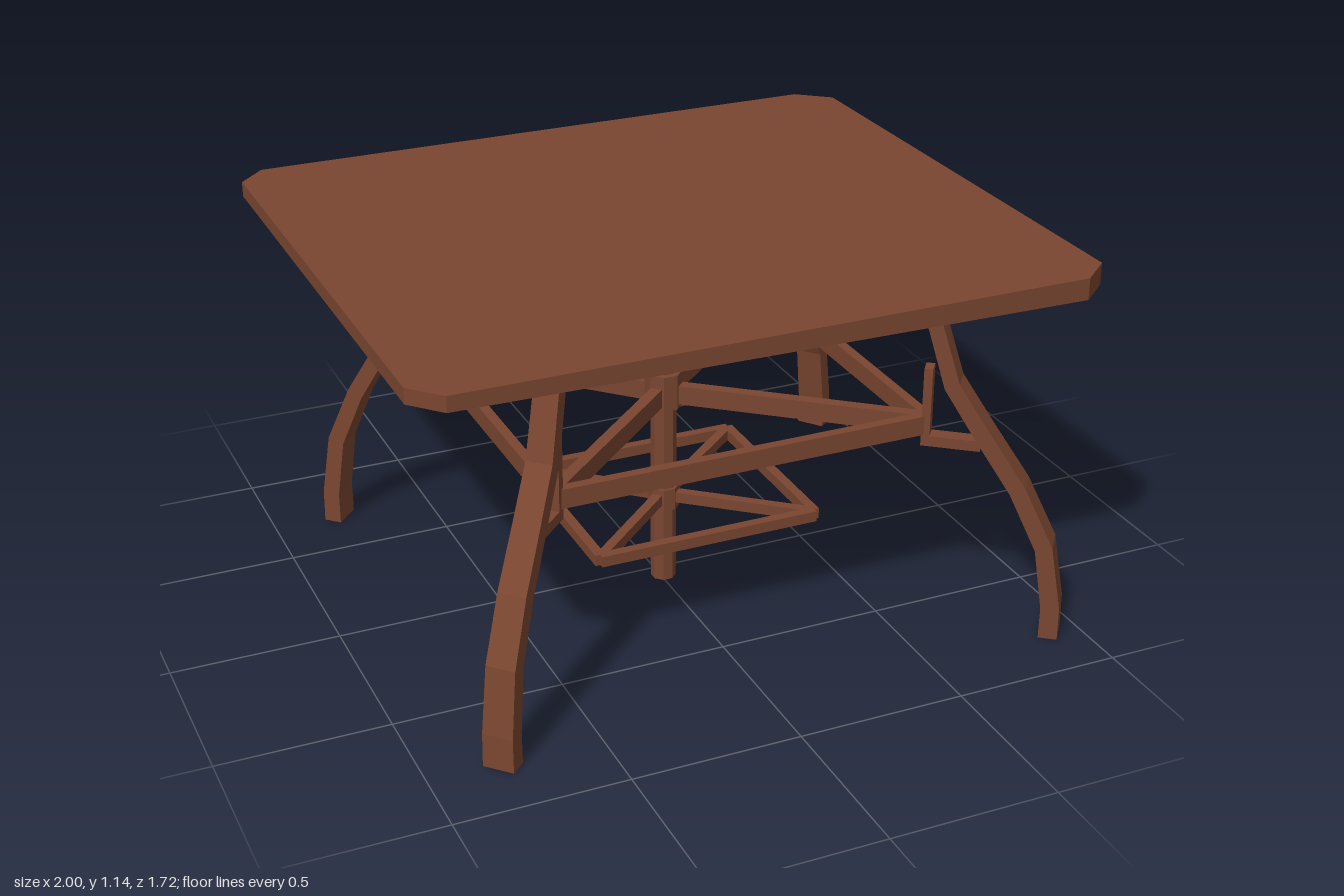
import * as THREE from 'three';

const wood = new THREE.MeshStandardMaterial({ color: 0x7a4630 });
wood.name = 'brown wood';

// Faceted mesh with hard edges
function part(name, geometry, parent) {
  const flat = geometry.index ? geometry.toNonIndexed() : geometry;
  flat.computeVertexNormals();
  const mesh = new THREE.Mesh(flat, wood);
  mesh.name = name;
  parent.add(mesh);
  return mesh;
}

// Horizontal bar between two [x, z] points
function bar(name, a, b, y, height, width, parent) {
  const dx = b[0] - a[0], dz = b[1] - a[1];
  const mesh = part(name, new THREE.BoxGeometry(Math.hypot(dx, dz), height, width), parent);
  mesh.position.set((a[0] + b[0]) / 2, y, (a[1] + b[1]) / 2);
  mesh.rotation.y = Math.atan2(-dz, dx);
}

// Vertical eight-sided column on the table's axis
function column(name, radius, y0, y1, parent) {
  const mesh = part(name, new THREE.CylinderGeometry(radius, radius, y1 - y0, 8), parent);
  mesh.rotation.y = Math.PI / 8;
  mesh.position.set(HUB[0], (y0 + y1) / 2, HUB[1]);
}

const HUB = [0, 0.07];

// Leg curve: height and share of the outward splay, from foot to top
const CURVE = [[0, 1], [0.1, 1], [0.29, 0.92], [0.465, 0.7], [0.62, 0.43],
  [0.77, 0.18], [0.96, 0.03], [1.1, 0]];

// Curved leg, tapering upward; x is outward and z is across
function legGeometry(splay) {
  const n = CURVE.length - 1;
  const g = new THREE.BoxGeometry(1, 1, 1, 1, n, 1);
  const p = g.attributes.position;
  for (let i = 0; i < p.count; i++) {
    const k = Math.round((p.getY(i) + 0.5) * n);
    const [y, t] = CURVE[k];
    const lo = CURVE[Math.max(k - 1, 0)], hi = CURVE[Math.min(k + 1, n)];
    const tx = (hi[1] - lo[1]) * splay, ty = hi[0] - lo[0], len = Math.hypot(tx, ty);
    const depth = p.getX(i) * (0.055 - 0.012 * y);
    const tilt = k === 0 || k === n ? 0 : -tx / len;
    p.setXYZ(i, t * splay + depth * ty / len, y + depth * tilt, p.getZ(i) * (0.092 - 0.018 * y));
  }
  return g;
}

export function createModel() {
  const table = new THREE.Group();
  table.name = 'table';

  // Top board with clipped corners; its underside drops slightly to the right
  const outline = [[-1, -0.78], [-0.92, -0.86], [0.88, -0.86], [0.98, -0.78],
    [1, 0.775], [0.91, 0.855], [-0.92, 0.855], [-1, 0.77]];
  const shape = new THREE.Shape(outline.map(([x, z]) => new THREE.Vector2(x, -z)));
  const board = new THREE.ExtrudeGeometry(shape, { depth: 0.055, bevelEnabled: false });
  board.rotateX(-Math.PI / 2).translate(0, 1.085, 0);
  const bp = board.attributes.position;
  for (let i = 0; i < bp.count; i++) {
    if (bp.getY(i) < 1.1) bp.setY(i, 1.085 - 0.01 * bp.getX(i));
  }
  part('tabletop', board, table);

  // Legs in order round the table: top [x, z] and foot [x, z]
  const legs = [
    [[-0.537, 0.56], [-0.788, 0.8]],
    [[0.603, 0.56], [0.912, 0.8]],
    [[0.603, -0.475], [0.912, -0.712]],
    [[-0.537, -0.475], [-0.788, -0.712]],
  ];
  legs.forEach(([top, foot], i) => {
    const dx = foot[0] - top[0], dz = foot[1] - top[1], splay = Math.hypot(dx, dz);
    const group = new THREE.Group();
    group.name = 'leg';
    group.position.set(top[0], 0, top[1]);
    group.rotation.y = Math.atan2(-dz, dx);
    table.add(group);
    part('curvedLeg', legGeometry(splay), group);

    // Bracket: upright and foot plate closing a triangle behind the leg
    part('bracketUpright', new THREE.BoxGeometry(0.025, 0.24, 0.045), group).position.y = 0.69;
    part('bracketPlate', new THREE.BoxGeometry(0.17, 0.032, 0.045), group)
      .position.set(0.0725, 0.585, 0);

    // Upper stretchers: one to the next leg, one to the hub
    const next = legs[(i + 1) % 4][0];
    bar('sideStretcher', top, next, 0.632, 0.058, 0.03, table);
    bar('diagonalStretcher', top, HUB, 0.632, 0.058, 0.035, table);
  });

  // Lower frame with its diagonals
  const corners = [[-0.325, 0.365], [0.355, 0.365], [0.355, -0.235], [-0.325, -0.235]];
  corners.forEach((c, i) => {
    bar('lowerFrameBar', c, corners[(i + 1) % 4], 0.292, 0.033, 0.03, table);
    bar('lowerFrameDiagonal', c, HUB, 0.292, 0.033, 0.03, table);
  });

  // Central post with collars
  column('centrePost', 0.038, 0.015, 1.09, table);
  column('upperCollar', 0.056, 0.59, 0.7, table);
  column('lowerCollar', 0.047, 0.255, 0.325, table);

  return table;
}
